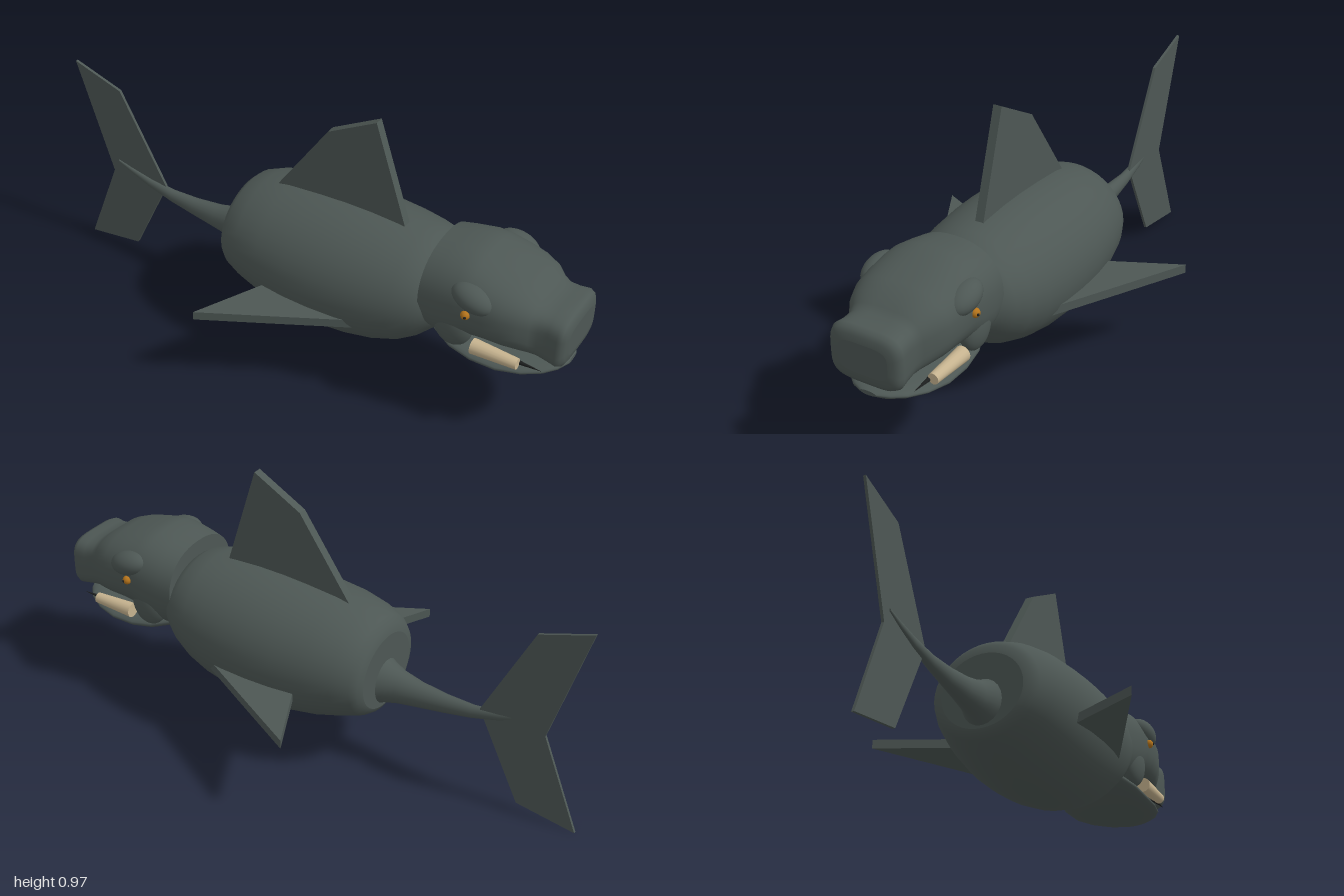
import * as THREE from 'three';

const skin = new THREE.MeshStandardMaterial({ color: 0x4d5754 });
skin.name = 'slateSkin';
const ivory = new THREE.MeshStandardMaterial({ color: 0xc6b38f });
ivory.name = 'ivory';
const amber = new THREE.MeshStandardMaterial({ color: 0xb5741c });
amber.name = 'amberEye';
const dark = new THREE.MeshStandardMaterial({ color: 0x1c1e1e });
dark.name = 'darkDetail';

// Smooth skin over cross-sections along x: [x, top, bottom, halfWidth, squareness]
function loft(stations, sides = 36) {
  const pos = [], index = [];
  const power = (v, n) => Math.sign(v) * Math.pow(Math.abs(v), 2 / n);
  const addRing = ([x, top, bottom, w, n = 2]) => {
    const start = pos.length / 3;
    for (let j = 0; j < sides; j++) {
      const a = (j / sides) * Math.PI * 2;
      pos.push(x, (top + bottom) / 2 + power(Math.sin(a), n) * (top - bottom) / 2, power(Math.cos(a), n) * w);
    }
    return start;
  };
  const rings = stations.map(addRing);
  for (let i = 0; i < rings.length - 1; i++) {
    for (let j = 0; j < sides; j++) {
      const k = (j + 1) % sides;
      const a = rings[i] + j, b = rings[i] + k, c = rings[i + 1] + k, d = rings[i + 1] + j;
      index.push(a, c, b, a, d, c);
    }
  }
  // flat end caps with their own vertices
  for (const front of [false, true]) {
    const s = front ? stations[stations.length - 1] : stations[0];
    const r = addRing(s), centre = pos.length / 3;
    pos.push(s[0], (s[1] + s[2]) / 2, 0);
    for (let j = 0; j < sides; j++) {
      const k = (j + 1) % sides;
      if (front) index.push(centre, r + k, r + j);
      else index.push(centre, r + j, r + k);
    }
  }
  const g = new THREE.BufferGeometry();
  g.setAttribute('position', new THREE.Float32BufferAttribute(pos, 3));
  g.setIndex(index);
  g.computeVertexNormals();
  return g;
}

// Flat plate cut from an outline
function plate(points, depth) {
  const shape = new THREE.Shape(points.map(([x, y]) => new THREE.Vector2(x, y)));
  return new THREE.ExtrudeGeometry(shape, { depth, bevelEnabled: false });
}

export function createModel() {
  const model = new THREE.Group();
  model.name = 'finnedBeast';
  const add = (name, geometry, material = skin, parent = model) => {
    const mesh = new THREE.Mesh(geometry, material);
    mesh.name = name;
    parent.add(mesh);
    return mesh;
  };

  // Barrel body
  add('body', loft([
    [-0.27, 0.50, 0.235, 0.15], [-0.262, 0.53, 0.22, 0.175], [-0.24, 0.552, 0.205, 0.195],
    [-0.18, 0.576, 0.185, 0.222], [-0.08, 0.597, 0.155, 0.245], [0.04, 0.608, 0.133, 0.257],
    [0.14, 0.614, 0.131, 0.26], [0.24, 0.615, 0.139, 0.256], [0.34, 0.61, 0.16, 0.245],
    [0.42, 0.602, 0.19, 0.228], [0.48, 0.59, 0.232, 0.208], [0.525, 0.56, 0.278, 0.178],
    [0.56, 0.50, 0.303, 0.13],
  ], 40));

  // Tapering tail, slightly upturned at the tip
  add('tail', loft([
    [-0.24, 0.43, 0.23, 0.09], [-0.28, 0.40, 0.25, 0.068], [-0.33, 0.38, 0.262, 0.052],
    [-0.40, 0.364, 0.272, 0.04], [-0.50, 0.354, 0.286, 0.028], [-0.60, 0.352, 0.304, 0.02],
    [-0.70, 0.365, 0.33, 0.013], [-0.78, 0.382, 0.36, 0.008], [-0.84, 0.397, 0.388, 0.004],
  ].reverse(), 20));

  // Forked tail fin
  add('tailFin', plate([
    [-0.63, 0.355], [-0.81, 0.705], [-1, 0.768], [-0.867, 0.34], [-1, 0.003], [-0.785, 0.035],
  ], 0.01)).position.z = -0.01;

  // Dorsal fin
  add('dorsalFin', plate([
    [-0.15, 0.55], [0.07, 0.87], [0.25, 0.97], [0.375, 0.58],
  ], 0.031)).position.z = -0.012;

  // Head with a blunt square muzzle
  const head = new THREE.Group();
  head.name = 'head';
  model.add(head);
  add('skull', loft([
    [0.508, 0.628, 0.31, 0.178, 2.3], [0.56, 0.637, 0.31, 0.185, 2.4], [0.63, 0.649, 0.325, 0.19, 2.4],
    [0.68, 0.643, 0.35, 0.19, 2.4], [0.74, 0.626, 0.362, 0.188, 2.5], [0.80, 0.61, 0.363, 0.18, 2.6],
    [0.85, 0.59, 0.362, 0.16, 2.8], [0.88, 0.562, 0.36, 0.138, 3.2], [0.905, 0.548, 0.358, 0.127, 3.6],
    [0.94, 0.543, 0.354, 0.127, 4], [0.972, 0.545, 0.35, 0.132, 4], [0.988, 0.538, 0.356, 0.126, 4],
    [0.997, 0.522, 0.372, 0.11, 4], [1, 0.50, 0.394, 0.09, 4],
  ], 48), skin, head);

  // Shallow lower jaw
  add('lowerJaw', loft([
    [0.55, 0.37, 0.31, 0.13], [0.62, 0.352, 0.286, 0.158], [0.70, 0.337, 0.272, 0.166],
    [0.79, 0.332, 0.272, 0.163], [0.87, 0.332, 0.282, 0.142], [0.93, 0.335, 0.292, 0.108],
    [0.965, 0.335, 0.301, 0.07], [0.985, 0.329, 0.314, 0.03],
  ]), skin, head);

  for (const [side, s] of [['left', -1], ['right', 1]]) {
    // Swept side fins
    const fin = plate([[0.31, s * 0.225], [0.08, s * 0.348], [-0.165, s * 0.478], [-0.03, s * 0.2]], 0.032);
    fin.rotateX(Math.PI / 2);
    add(side + 'SideFin', fin).position.y = 0.327;

    // Brow ridge and cheek
    const brow = add(side + 'Brow', new THREE.SphereGeometry(1, 24, 16), skin, head);
    brow.scale.set(0.078, 0.045, 0.05);
    brow.position.set(0.695, 0.553, s * 0.156);
    brow.rotation.z = -0.25;
    const cheek = add(side + 'Cheek', new THREE.SphereGeometry(1, 24, 16), skin, head);
    cheek.scale.set(0.07, 0.085, 0.04);
    cheek.position.set(0.625, 0.41, s * 0.145);

    // Eye and pupil
    const eye = add(side + 'Eye', new THREE.SphereGeometry(0.016, 16, 12), amber, head);
    eye.position.set(0.685, 0.503, s * 0.189);
    const pupil = add(side + 'Pupil', new THREE.SphereGeometry(0.005, 10, 8), dark, head);
    pupil.position.set(0.69, 0.503, s * 0.2025);

    // Forward tusk with a thin dark barb
    const tusk = add(side + 'Tusk', new THREE.CylinderGeometry(0.019, 0.027, 0.16, 16), ivory, head);
    tusk.rotation.z = -Math.PI / 2;
    tusk.position.set(0.782, 0.353, s * 0.152);
    const barb = add(side + 'Barb', new THREE.ConeGeometry(0.009, 0.1, 10), dark, head);
    barb.rotation.z = -Math.PI / 2;
    barb.position.set(0.89, 0.346, s * 0.135);
  }
  return model;
}
